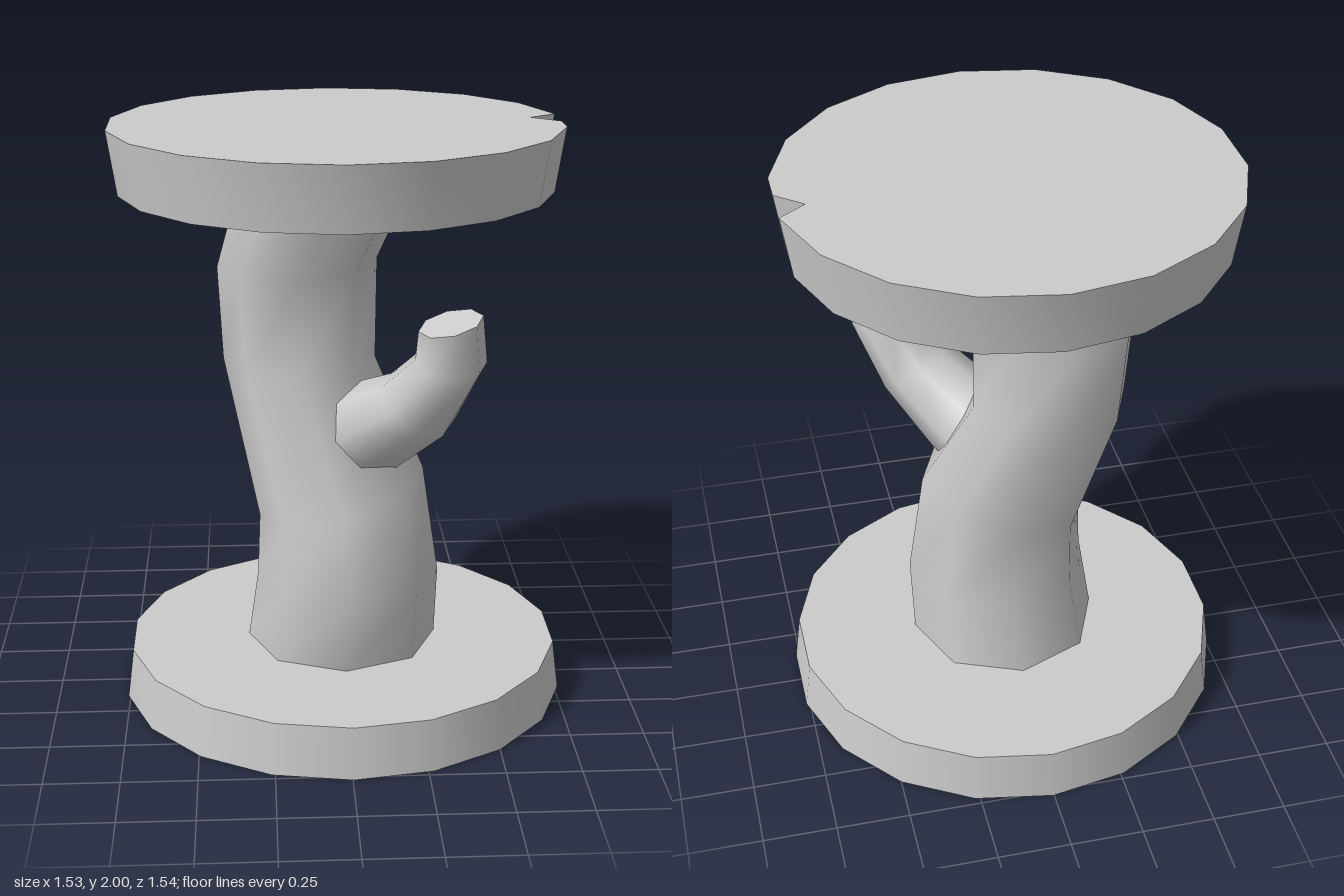
import * as THREE from 'three';
import { toCreasedNormals } from 'three/addons/utils/BufferGeometryUtils.js';

const material = new THREE.MeshStandardMaterial({ color: 0xcccccc });

function part(name, geometry) {
  const mesh = new THREE.Mesh(geometry, material);
  mesh.name = name;
  return mesh;
}

// Lofts eight-sided rings, each { c: centre, r: radius, n: axis }, with a cap on the last.
function loft(rings, crease) {
  const sides = 8, up = new THREE.Vector3(0, 1, 0), positions = [], indices = [];
  for (const { c, r, n } of rings) {
    const q = new THREE.Quaternion().setFromUnitVectors(up, new THREE.Vector3(...n).normalize());
    for (let j = 0; j < sides; j++) {
      const a = (j / sides) * Math.PI * 2;
      const p = new THREE.Vector3(Math.cos(a) * r, 0, Math.sin(a) * r).applyQuaternion(q);
      positions.push(p.x + c[0], p.y + c[1], p.z + c[2]);
    }
  }
  const last = (rings.length - 1) * sides;
  positions.push(...rings[rings.length - 1].c);
  for (let j = 0; j < sides; j++) {
    const k = (j + 1) % sides;
    for (let i = 0; i < last; i += sides) {
      const a = i + j, b = i + k, c = a + sides, d = b + sides;
      indices.push(a, c, b, b, c, d);
    }
    indices.push(last + sides, last + k, last + j);
  }
  const geometry = new THREE.BufferGeometry();
  geometry.setAttribute('position', new THREE.Float32BufferAttribute(positions, 3));
  geometry.setIndex(indices);
  return toCreasedNormals(geometry, crease);
}

// Flared 18-sided slab with a wedge cut out of its +x rim.
function notchedSlab(bottomRadius, topRadius, height) {
  const points = [];
  for (let i = 0; i < 18; i++) {
    const a = ((10 + 20 * i) * Math.PI) / 180;
    points.push(new THREE.Vector2(Math.cos(a) * topRadius, Math.sin(a) * topRadius));
    // the wedge lies on the last side, before the first corner
  }
  const rimX = points[0].x;
  points.push(new THREE.Vector2(rimX, -0.015));
  points.push(new THREE.Vector2(0.655, 0.063));
  const geometry = new THREE.ExtrudeGeometry(new THREE.Shape([...points.slice(0, 18), ...points.slice(18)]), {
    depth: height, bevelEnabled: false,
  });
  geometry.rotateX(-Math.PI / 2);
  const pos = geometry.attributes.position;
  for (let i = 0; i < pos.count; i++) {
    const s = THREE.MathUtils.lerp(bottomRadius / topRadius, 1, pos.getY(i) / height);
    pos.setX(i, pos.getX(i) * s);
    pos.setZ(i, pos.getZ(i) * s);
  }
  return toCreasedNormals(geometry, 0.6);
}

export function createModel() {
  const model = new THREE.Group();
  model.name = 'logTable';

  // Round base
  const base = part('base', new THREE.CylinderGeometry(0.75, 0.772, 0.175, 18));
  base.position.set(0.003, 0.0875, 0);
  model.add(base);

  // Notched top
  const top = part('top', notchedSlab(0.724, 0.757, 0.215));
  top.position.set(-0.02, 1.785, 0);
  model.add(top);

  // Winding trunk
  model.add(part('trunk', loft([
    { c: [0, 0.17, 0.005], r: 0.33, n: [0, 1, 0] },
    { c: [0.02, 0.43, 0.05], r: 0.315, n: [0, 1, 0] },
    { c: [-0.003, 0.725, 0.045], r: 0.295, n: [-0.29, 1, 0] },
    { c: [-0.142, 1.175, -0.08], r: 0.262, n: [0, 1, 0] },
    { c: [-0.147, 1.505, -0.105], r: 0.274, n: [-0.05, 1, 0] },
    { c: [-0.055, 1.79, -0.005], r: 0.288, n: [0, 1, 0] },
  ], 1.1)));

  // Cut-off branch growing from the trunk
  model.add(part('branch', loft([
    { c: [0, 0.9, 0.03], r: 0.165, n: [0.57, 0.52, 0.63] },
    { c: [0.11, 1.0, 0.15], r: 0.16, n: [0.57, 0.52, 0.63] },
    { c: [0.235, 1.115, 0.29], r: 0.14, n: [0.53, 1, 0.55] },
    { c: [0.337, 1.285, 0.365], r: 0.117, n: [0.05, 1, 0.25] },
    { c: [0.33, 1.42, 0.4], r: 0.107, n: [-0.25, 1, 0.12] },
  ], 1.1)));

  return model;
}
